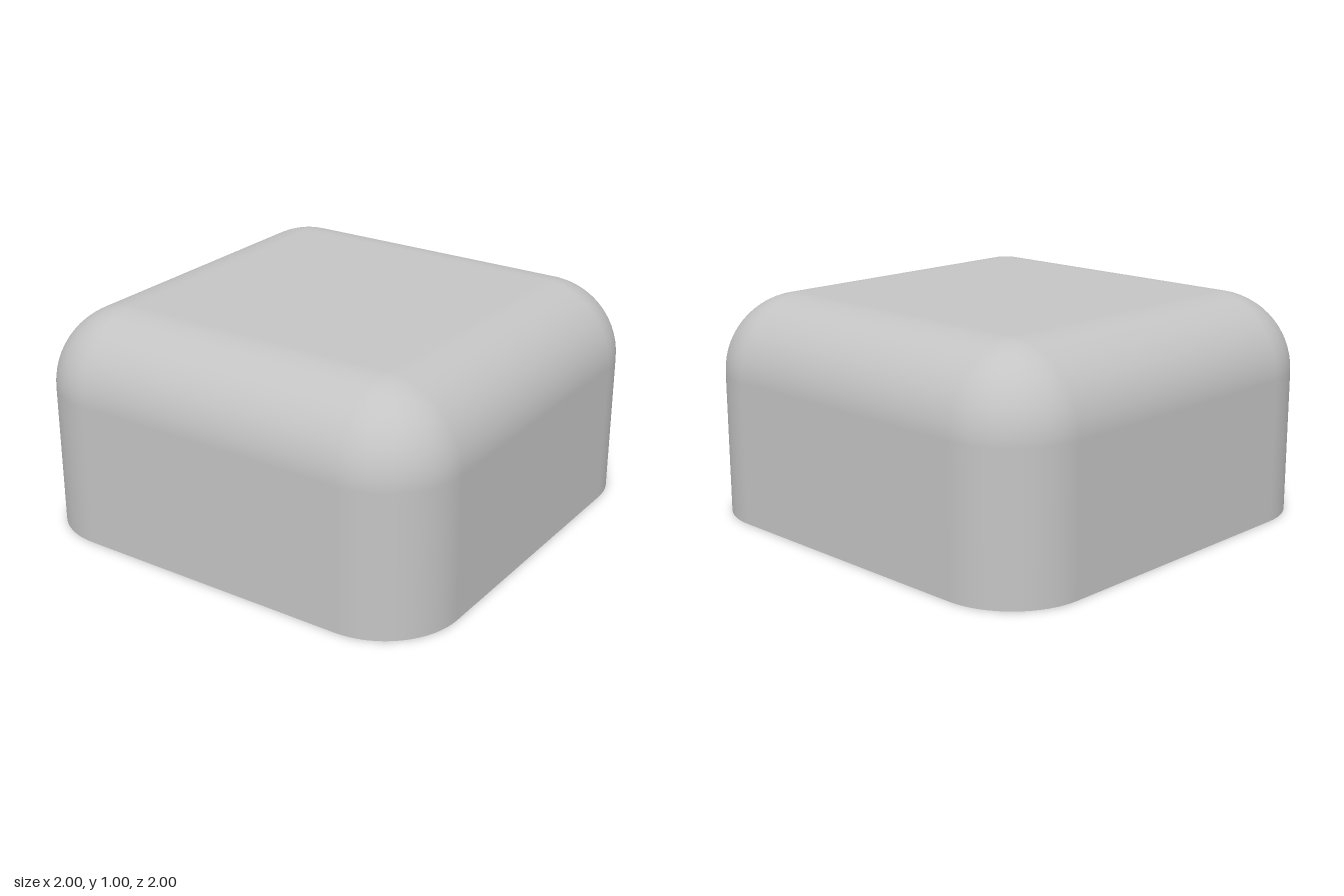
import * as THREE from 'three';

const CORE = 0.647;        // half size of the flat areas, also height of the fillet centres
const OUTER = 0.353;       // outer corner and edge radius
const INNER = 0.235;       // inner radius, leaving an even wall
const STEPS = 16;          // segments per quarter turn
const SLOT = { x: 0.38, y: 0.12, w: 0.25, h: 0.065, depth: 0.04 };

// Lofts rounded-square rings; each row is [radius, y, normalOut, normalY]
function loft(rows, skipFlats = () => false) {
  const pos = [], nor = [], idx = [];
  const count = 4 * (STEPS + 1);
  for (const [r, y, nOut, nY] of rows) {
    for (let k = 0; k < 4; k++) {
      const sx = k === 0 || k === 3 ? 1 : -1, sz = k < 2 ? 1 : -1;
      for (let s = 0; s <= STEPS; s++) {
        const a = (k + s / STEPS) * Math.PI / 2;
        const c = Math.cos(a), d = Math.sin(a);
        pos.push(sx * CORE + r * c, y, sz * CORE + r * d);
        nor.push(nOut * c, nY, nOut * d);
      }
    }
  }
  for (let j = 0; j < rows.length - 1; j++) {
    for (let i = 0; i < count; i++) {
      if (i % (STEPS + 1) === STEPS && skipFlats(j)) continue;
      const a = j * count + i, b = j * count + (i + 1) % count;
      idx.push(a, a + count, b, b, a + count, b + count);
    }
  }
  const g = new THREE.BufferGeometry();
  g.setAttribute('position', new THREE.Float32BufferAttribute(pos, 3));
  g.setAttribute('normal', new THREE.Float32BufferAttribute(nor, 3));
  g.setIndex(idx);
  return g;
}

// Quarter-round profile from the vertical wall up to the flat top
function filletRows(r, sign) {
  return Array.from({ length: STEPS + 1 }, (_, i) => {
    const t = i / STEPS * Math.PI / 2, c = Math.cos(t), s = Math.sin(t);
    return [r * c, CORE + r * s, sign * c, sign * s];
  });
}

// Flat inner wall with two slots cut through its thickness
function slottedWall() {
  const shape = new THREE.Shape([
    new THREE.Vector2(-CORE, 0), new THREE.Vector2(CORE, 0),
    new THREE.Vector2(CORE, CORE), new THREE.Vector2(-CORE, CORE),
  ]);
  for (const side of [-1, 1]) {
    const x0 = side * SLOT.x - SLOT.w / 2, x1 = x0 + SLOT.w;
    const y0 = SLOT.y - SLOT.h / 2, y1 = y0 + SLOT.h;
    shape.holes.push(new THREE.Path([
      new THREE.Vector2(x0, y0), new THREE.Vector2(x0, y1),
      new THREE.Vector2(x1, y1), new THREE.Vector2(x1, y0),
    ]));
  }
  return new THREE.ExtrudeGeometry(shape, { depth: SLOT.depth, bevelEnabled: false });
}

export function createModel() {
  const model = new THREE.Group();
  model.name = 'roundedCover';
  const grey = new THREE.MeshStandardMaterial({ color: 0xc4c4c4 });
  grey.name = 'grey';
  const add = (geometry, name, parent = model) => {
    const mesh = new THREE.Mesh(geometry, grey);
    mesh.name = name;
    parent.add(mesh);
    return mesh;
  };

  // Outer skin, bottom rim and cavity
  add(loft([[OUTER, 0, 1, 0], ...filletRows(OUTER, 1)]), 'outerShell');
  add(loft([[INNER, 0, 0, -1], [OUTER, 0, 0, -1]]), 'bottomRim');
  const cavity = [...filletRows(INNER, -1).reverse(), [INNER, 0, -1, 0]];
  add(loft(cavity, (j) => j === cavity.length - 2), 'innerCavity');

  // Flat top and ceiling
  const flat = (turn) => new THREE.PlaneGeometry(2 * CORE, 2 * CORE).rotateX(turn);
  add(flat(-Math.PI / 2), 'top').position.y = CORE + OUTER;
  add(flat(Math.PI / 2), 'ceiling').position.y = CORE + INNER;

  // Four inner walls, each with a pair of clip slots
  const wallGeometry = slottedWall();
  const floorGeometry = new THREE.PlaneGeometry(SLOT.w, SLOT.h).rotateY(Math.PI);
  for (let k = 0; k < 4; k++) {
    const wall = new THREE.Group();
    wall.name = 'innerWall' + (k + 1);
    wall.rotation.y = k * Math.PI / 2;
    add(wallGeometry, 'slottedWall', wall).position.z = CORE + INNER;
    for (const side of [-1, 1]) {
      add(floorGeometry, 'slotFloor', wall)
        .position.set(side * SLOT.x, SLOT.y, CORE + INNER + SLOT.depth);
    }
    model.add(wall);
  }
  return model;
}
